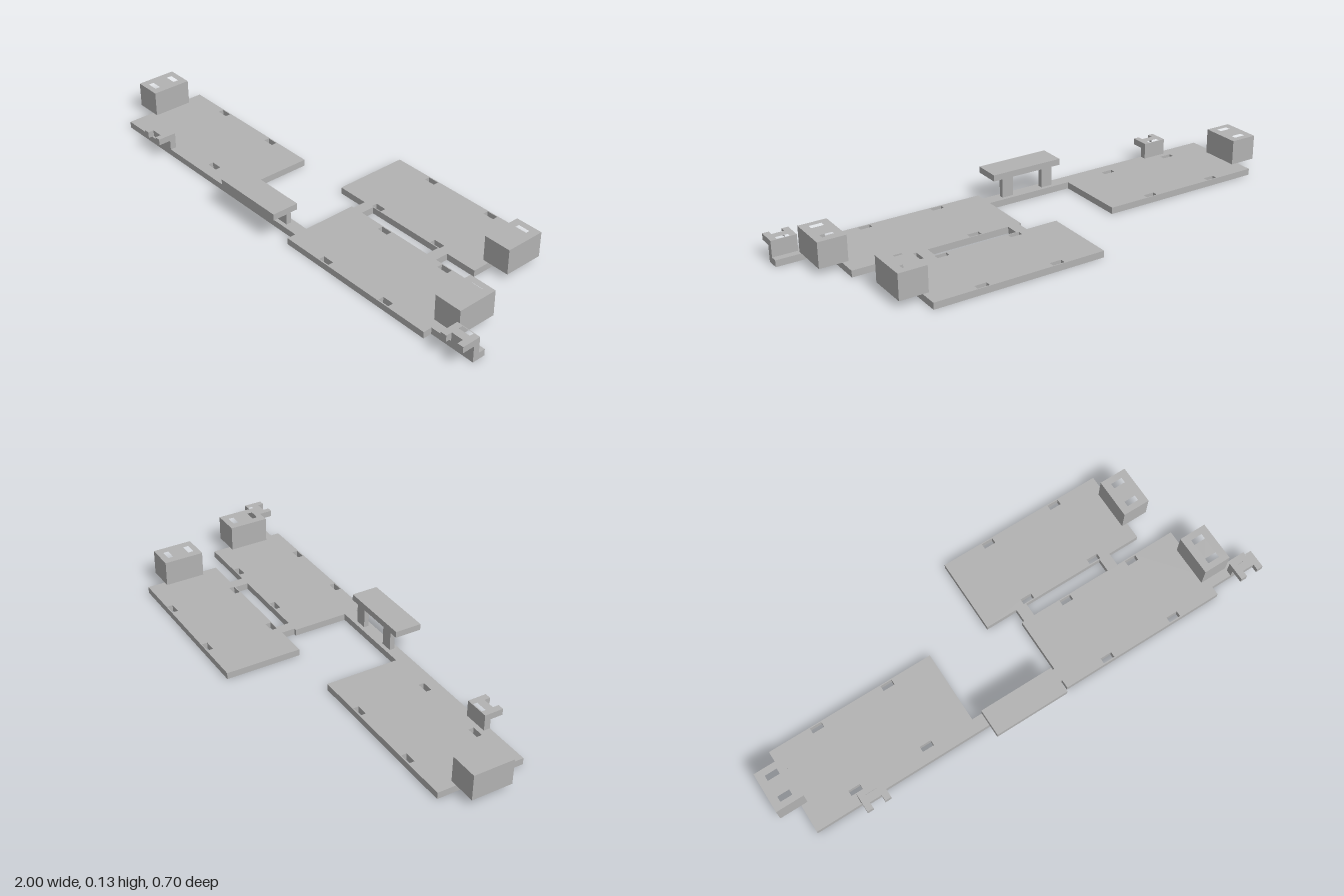
import * as THREE from 'three';

const grey = new THREE.MeshStandardMaterial({ color: 0xb2b2b2 });
grey.name = 'plain grey';

// Corners of a rectangle seen from above, as [x, z] pairs
const rect = (x0, x1, z0, z1) => [[x0, z0], [x1, z0], [x1, z1], [x0, z1]];

// Slab with an [x, z] outline and through holes, between heights y0 and y1
function slab(name, outline, holes, y0, y1) {
  const toPoints = (list) => list.map(([x, z]) => new THREE.Vector2(x, -z));
  const shape = new THREE.Shape(toPoints(outline));
  for (const hole of holes) shape.holes.push(new THREE.Path(toPoints(hole)));
  const geometry = new THREE.ExtrudeGeometry(shape, { depth: y1 - y0, bevelEnabled: false });
  geometry.rotateX(-Math.PI / 2);
  geometry.translate(0, y0, 0);
  const mesh = new THREE.Mesh(geometry, grey);
  mesh.name = name;
  return mesh;
}

const BASE_TOP = 0.026;
const BLOCK_TOP = 0.127;

// Block with two through slots, overhanging a plate end
function slottedBlock(name, x, z) {
  const holes = [0.026, 0.115].map((d) => rect(x + 0.031, x + 0.079, z + d, z + d + 0.022));
  return slab(name, rect(x, x + 0.111, z, z + 0.161), holes, BASE_TOP, BLOCK_TOP);
}

// Slot that runs down through a clip and the base below it
const clipSlot = (x) => rect(x + 0.025, x + 0.073, 0.256, 0.273);

// Clip: slotted post carrying a forked arm
function clip(name, x) {
  const group = new THREE.Group();
  group.name = name;
  const fork = [
    [x, 0.253], [x + 0.098, 0.253], [x + 0.098, 0.328], [x + 0.073, 0.328],
    [x + 0.073, 0.304], [x + 0.025, 0.304], [x + 0.025, 0.328], [x, 0.328],
  ];
  group.add(
    slab('clipPost', rect(x, x + 0.098, 0.253, 0.278), [clipSlot(x)], BASE_TOP, 0.065),
    slab('clipFork', fork, [clipSlot(x)], 0.065, 0.09),
  );
  return group;
}

export function createModel() {
  const model = new THREE.Group();
  model.name = 'plateAssembly';
  const clips = [['rightClip', -0.73], ['leftClip', 0.902]];

  // Base: three plates joined by a front strip and two short bridges
  const outline = [
    [-0.915, 0.278], [0.13, 0.278], [0.13, 0.313], [0.815, 0.313], [0.815, 0.278],
    [1, 0.278], [1, 0.226], [0.815, 0.226], [0.815, 0.008], [0.565, 0.008],
    [0.565, -0.046], [0.695, -0.046], [0.695, -0.347], [0.01, -0.347], [0.01, -0.046],
    [0.14, -0.046], [0.14, 0.008], [0.13, 0.008], [0.13, 0.226], [-0.23, 0.226],
    [-0.23, -0.068], [-0.915, -0.068],
  ];
  const holes = [rect(0.185, 0.52, -0.046, 0.008)];
  // Four slots in each plate: x positions, then z positions
  const slots = [
    [[-0.746, -0.446], [-0.064, 0.211]],
    [[0.297, 0.597], [0.012, 0.286]],
    [[0.176, 0.478], [-0.343, -0.072]],
  ];
  for (const [xs, zs] of slots)
    for (const x of xs) for (const z of zs) holes.push(rect(x, x + 0.047, z, z + 0.022));
  for (const [, x] of clips) holes.push(clipSlot(x));
  model.add(slab('basePlates', outline, holes, 0, BASE_TOP));

  // End blocks
  model.add(
    slottedBlock('rightBlock', -1, 0.005),
    slottedBlock('leftFrontBlock', 0.791, 0.081),
    slottedBlock('leftBackBlock', 0.672, -0.2755),
  );

  // Clips on the front edge
  for (const [name, x] of clips) model.add(clip(name, x));

  // Raised shelf on two legs
  model.add(slab('shelfTop', rect(-0.2, 0.1, 0.242, 0.349), [], 0.102, BLOCK_TOP));
  for (const x of [-0.163, 0.015])
    model.add(slab('shelfLeg', rect(x, x + 0.048, 0.242, 0.262), [], BASE_TOP, 0.102));

  return model;
}
